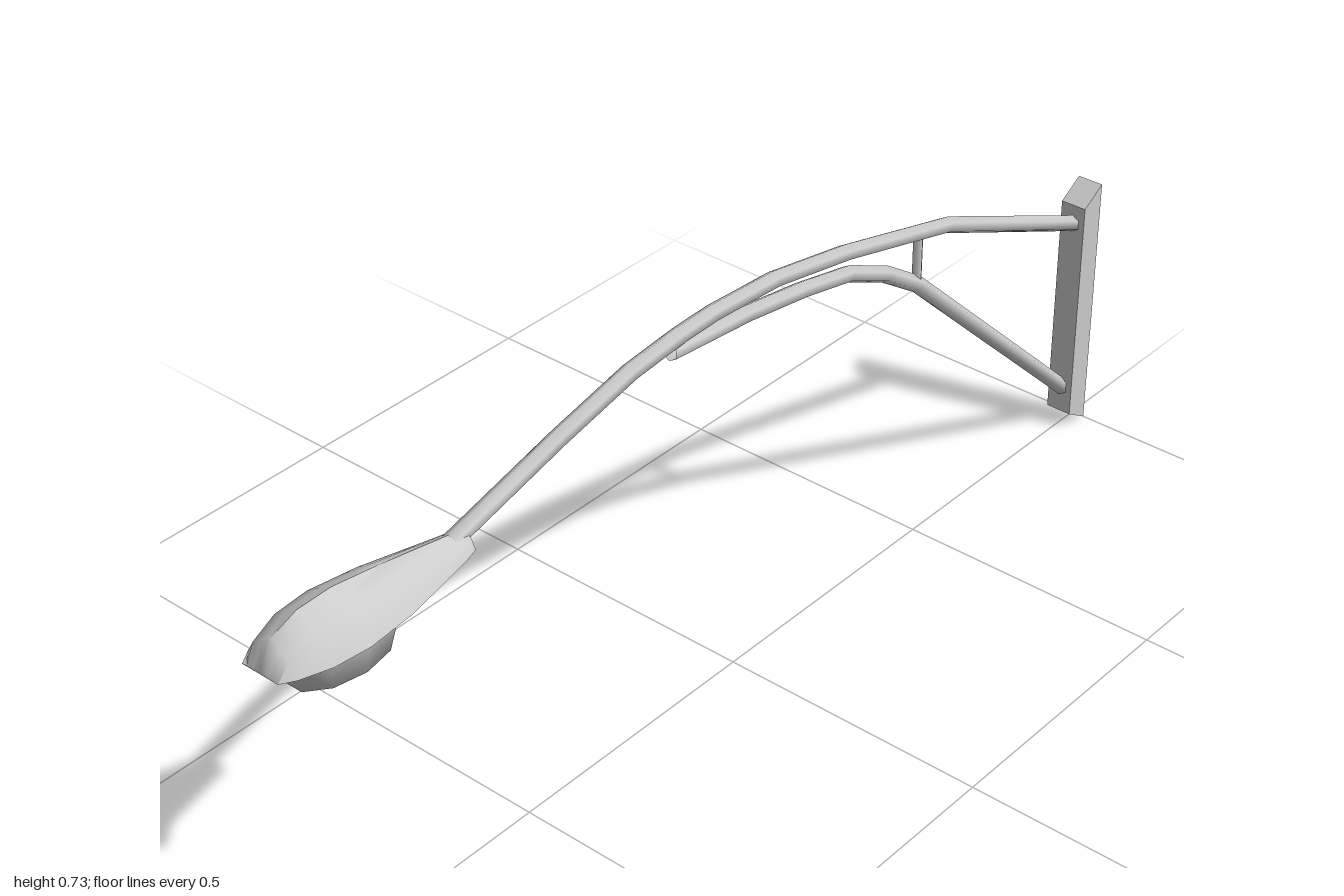
import * as THREE from 'three';
import { toCreasedNormals } from 'three/addons/utils/BufferGeometryUtils.js';

const material = new THREE.MeshStandardMaterial({ color: 0xcccccc, side: THREE.DoubleSide });

// Skin a list of closed rings (running towards +x, each turning from +y to +z).
function loft(rings, { capStart = false, capEnd = false, crease = 1.1 } = {}) {
  const n = rings[0].length;
  const index = [];
  for (let i = 0; i < rings.length - 1; i++) {
    for (let j = 0; j < n; j++) {
      const a = i * n + j, b = i * n + (j + 1) % n;
      index.push(a, b, a + n, b, b + n, a + n);
    }
  }
  const last = (rings.length - 1) * n;
  for (let j = 1; j < n - 1; j++) {
    if (capStart) index.push(0, j + 1, j);
    if (capEnd) index.push(last, last + j, last + j + 1);
  }
  const geometry = new THREE.BufferGeometry();
  geometry.setAttribute('position', new THREE.Float32BufferAttribute(rings.flat(2), 3));
  geometry.setIndex(index);
  return toCreasedNormals(geometry, crease);
}

// Open hexagonal pipe along [x, y] points, mitred at each bend.
function pipe(points, radius) {
  const p = points.map(([x, y]) => new THREE.Vector2(x, y));
  const rings = p.map((c, i) => {
    const before = p[Math.max(i - 1, 0)], after = p[Math.min(i + 1, p.length - 1)];
    const t = c.clone().sub(before).normalize().add(after.clone().sub(c).normalize()).normalize();
    return Array.from({ length: 6 }, (_, k) => {
      const u = radius * Math.cos(k * Math.PI / 3), z = radius * Math.sin(k * Math.PI / 3);
      return [c.x - t.y * u, c.y + t.x * u, z];
    });
  });
  return loft(rings);
}

export function createModel() {
  const model = new THREE.Group();
  const add = (name, geometry) => {
    const mesh = new THREE.Mesh(geometry, material);
    mesh.name = name;
    model.add(mesh);
    return mesh;
  };

  // Wall bracket: channel open at the back with sloping ends
  const frame = (x, y0, y1) => [[x, y1, -0.025], [x, y1, 0.025], [x, y0, 0.025], [x, y0, -0.025]];
  add('wallBracket', loft([frame(0.95, 0.03, 0.47), frame(1, 0, 0.5)], { capStart: true, crease: 0.3 }));

  // Main arm and the brace below it
  add('mainArm', pipe([
    [-0.63, 0.6], [-0.4, 0.662], [-0.24, 0.699], [-0.13, 0.71], [-0.05, 0.713],
    [0.1, 0.705], [0.28, 0.672], [0.56, 0.601], [0.957, 0.43],
  ], 0.015));
  add('brace', pipe([
    [-0.15, 0.69], [0.03, 0.674], [0.17, 0.653], [0.29, 0.628], [0.39, 0.582], [0.48, 0.522], [0.957, 0.078],
  ], 0.015));

  // Upright strut joining arm and brace
  const strut = add('strut', new THREE.CylinderGeometry(0.009, 0.009, 0.1, 6, 1, true));
  strut.position.set(0.48, 0.572, 0);

  // Lamp hood: stations of [x, half width, height] above a flat rim
  const rim = 0.584;
  const half = [[0, 1], [0.37, 0.78], [0.72, 0.53], [1, 0]];
  const section = [...half, ...half.slice(1).reverse().map(([z, y]) => [-z, y])];
  const stations = [
    [-1, 0.036, 0.004], [-0.977, 0.05, 0.046], [-0.925, 0.067, 0.066], [-0.86, 0.073, 0.068],
    [-0.77, 0.064, 0.055], [-0.63, 0.033, 0.03], [-0.605, 0.025, 0.03],
  ];
  add('lampHood', loft(
    stations.map(([x, w, h]) => section.map(([z, y]) => [x, rim + h * y, w * z])),
    { capStart: true, capEnd: true, crease: 0.95 },
  ));

  // Glass bowl under the hood
  const bowlProfile = [[0, 0.495], [0.82, 0.527], [1, 0.586]].map(([r, y]) => new THREE.Vector2(r, y));
  const bowl = add('lampBowl', new THREE.LatheGeometry(bowlProfile, 10));
  bowl.scale.set(0.115, 1, 0.066);
  bowl.position.x = -0.855;

  return model;
}
